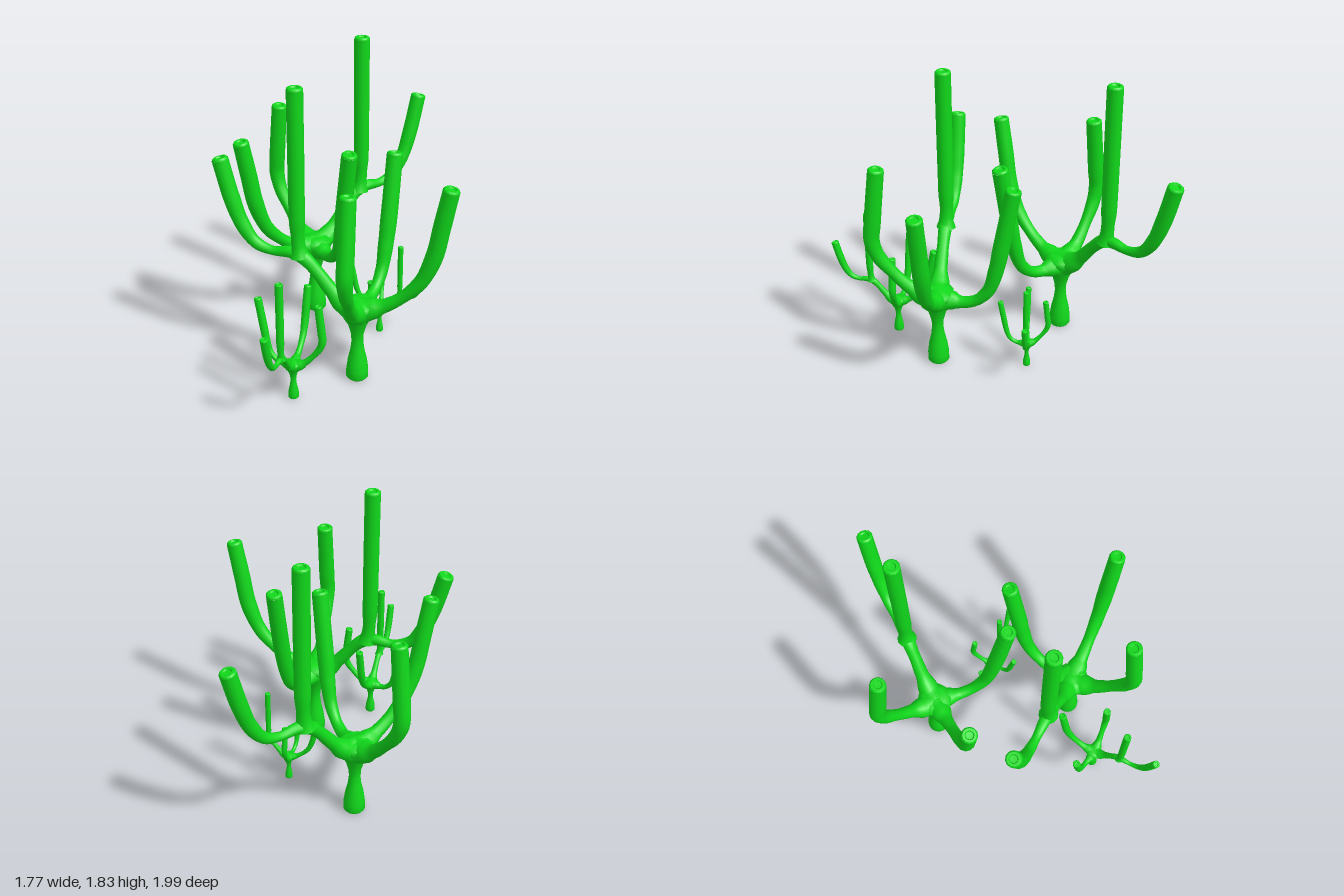
import * as THREE from 'three';
import { mergeVertices, toCreasedNormals } from 'three/addons/utils/BufferGeometryUtils.js';

const SIDES = 12;
const TIP = 0.05;
const green = new THREE.MeshStandardMaterial({ color: 0x10d81a });

// Each limb is a list of [x, y, z, radius]
const limbs = {
  leftwardArm: [[0, 0.465, 0, 0.09], [-0.09, 0.495, 0.005, 0.068], [-0.17, 0.55, 0.01, 0.042], [-0.26, 0.645, 0.02, 0.036],
    [-0.35, 0.77, 0.03, 0.044], [-0.383, 0.88, 0.033, 0.05], [-0.372, 1.0, 0.035, 0.052], [-0.332, 1.355, 0.036, TIP]],
  rightwardArm: [[0, 0.465, 0, 0.09], [0.09, 0.47, 0.012, 0.062], [0.16, 0.47, 0.028, 0.038], [0.25, 0.5, 0.045, 0.035],
    [0.33, 0.585, 0.06, 0.04], [0.38, 0.74, 0.07, 0.048], [0.412, 0.9, 0.078, 0.052], [0.485, 1.295, 0.09, TIP]],
  forwardArm: [[0, 0.465, 0, 0.09], [0, 0.495, 0.09, 0.066], [0, 0.53, 0.17, 0.042], [0, 0.6, 0.27, 0.037],
    [0, 0.72, 0.38, 0.044], [0, 0.9, 0.455, 0.052], [-0.005, 1.1, 0.495, 0.052], [-0.01, 1.325, 0.54, TIP]],
  longArm: [[0, 0.465, 0, 0.09], [0, 0.51, -0.09, 0.066], [0, 0.59, -0.17, 0.043], [0.003, 0.7, -0.26, 0.038],
    [0.005, 0.775, -0.34, 0.043], [0.01, 0.795, -0.42, 0.036], [0.012, 0.787, -0.53, 0.028], [0.015, 0.825, -0.64, 0.036],
    [0.017, 0.94, -0.725, 0.045], [0.018, 1.1, -0.785, 0.05], [0.02, 1.335, -0.848, TIP]],
  uprightStem: [[0.008, 0.775, -0.36, 0.062], [0.009, 0.83, -0.367, 0.043], [0.01, 0.9, -0.372, 0.041],
    [0.01, 1.02, -0.375, 0.049], [0.01, 1.4, -0.375, TIP], [0.01, 1.818, -0.375, TIP]],
};

const profile = (pairs) => pairs.map(([x, y]) => new THREE.Vector2(x, y));

// Tube whose rings are scaled to the radius given along the path
function taperedTube(points) {
  const curve = new THREE.CatmullRomCurve3(points.map(([x, y, z]) => new THREE.Vector3(x, y, z)));
  const rings = points.length * 5;
  const geo = new THREE.TubeGeometry(curve, rings, 1, SIDES);
  const pos = geo.attributes.position;
  const v = new THREE.Vector3();
  for (let i = 0; i <= rings; i++) {
    const u = i / rings;
    const centre = curve.getPointAt(u);
    const t = curve.getUtoTmapping(u) * (points.length - 1);
    const k = Math.min(Math.floor(t), points.length - 2);
    const r = THREE.MathUtils.lerp(points[k][3], points[k + 1][3], THREE.MathUtils.smoothstep(t - k, 0, 1));
    for (let j = 0; j <= SIDES; j++) {
      const n = i * (SIDES + 1) + j;
      v.fromBufferAttribute(pos, n).sub(centre).multiplyScalar(r).add(centre);
      pos.setXYZ(n, v.x, v.y, v.z);
    }
  }
  geo.deleteAttribute('uv');
  geo.deleteAttribute('normal');
  const smooth = mergeVertices(geo, 1e-5);
  smooth.computeVertexNormals();
  return { geo: smooth, end: curve.getPointAt(1), dir: curve.getTangentAt(1) };
}

// Trunk with a swollen foot and a flared hub
const trunkGeo = new THREE.LatheGeometry(profile([[0, 0], [0.056, 0], [0.068, 0.014], [0.068, 0.06], [0.059, 0.13],
  [0.043, 0.2], [0.036, 0.26], [0.039, 0.31], [0.055, 0.37], [0.083, 0.43], [0.107, 0.485],
  [0.108, 0.52], [0.07, 0.545], [0, 0.548]]), 16);

// Bevelled limb end with a shallow dimple
const capGeo = toCreasedNormals(new THREE.LatheGeometry(profile([[TIP, 0], [0.049, 0.006], [0.041, 0.014],
  [0.028, 0.014], [0.022, 0.005], [0, 0.004]]), SIDES), 0.7);

const limbParts = Object.entries(limbs).map(([name, points]) => ({ name, ...taperedTube(points) }));

function makePlant(name) {
  const plant = new THREE.Group();
  plant.name = name;
  const add = (geo, label) => {
    const mesh = new THREE.Mesh(geo, green);
    mesh.name = label;
    plant.add(mesh);
    return mesh;
  };
  add(trunkGeo, 'trunk');
  for (const { name: limb, geo, end, dir } of limbParts) {
    add(geo, limb);
    const cap = add(capGeo, limb + 'Tip');
    cap.position.copy(end);
    cap.quaternion.setFromUnitVectors(new THREE.Vector3(0, 1, 0), dir);
  }
  return plant;
}

export function createModel() {
  const model = new THREE.Group();
  model.name = 'cactusCluster';
  // name, x, z, turn in degrees, scale
  const layout = [
    ['largeCactusRight', -0.44, -0.1, 0, 1],
    ['largeCactusLeft', 0.4, 0.2, -234, 1],
    ['smallCactusFront', 0.342, 0.635, -146, 0.47],
    ['smallCactusBack', 0.06, -0.25, -50, 0.345],
  ];
  for (const [name, x, z, turn, scale] of layout) {
    const plant = makePlant(name);
    plant.position.set(x, 0, z);
    plant.rotation.y = THREE.MathUtils.degToRad(turn);
    plant.scale.setScalar(scale);
    model.add(plant);
  }
  return model;
}
